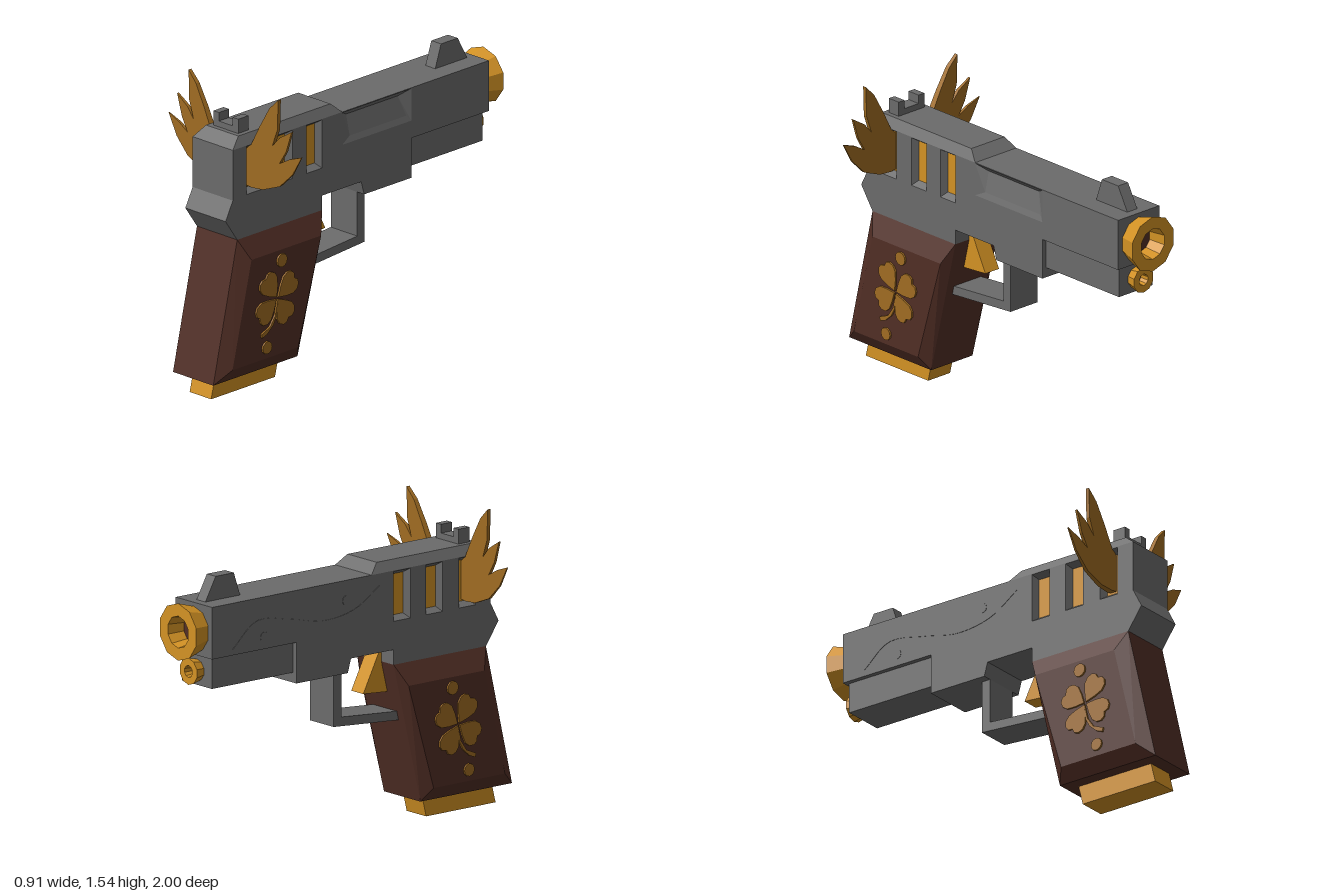
import * as THREE from 'three';

const mat = (name, color) => {
  const m = new THREE.MeshStandardMaterial({ color, side: THREE.DoubleSide });
  m.name = name;
  return m;
};

export function createModel() {
  const model = new THREE.Group();
  model.name = 'pistol';
  const grey = mat('gunmetal', 0x6b6b6b);
  const gold = mat('brightGold', 0xd39224);
  const bronze = mat('darkGold', 0xa06c22);
  const brown = mat('darkWood', 0x512e25);

  // Every part is faceted
  const add = (name, geo, material) => {
    const g = geo.index ? geo.toNonIndexed() : geo;
    g.computeVertexNormals();
    const mesh = new THREE.Mesh(g, material);
    mesh.name = name;
    model.add(mesh);
    return mesh;
  };
  // Mirror across x and restore the corner order
  const mirrored = (geo) => {
    const g = geo.index ? geo.toNonIndexed() : geo.clone();
    const p = g.attributes.position;
    for (let i = 0; i < p.count; i += 3) {
      const c = [0, 2, 1].map((k) => new THREE.Vector3().fromBufferAttribute(p, i + k));
      c.forEach((v, k) => p.setXYZ(i + k, -v.x, v.y, v.z));
    }
    return g;
  };
  const addPair = (name, geo, material) => {
    add('left' + name, geo, material);
    add('right' + name, mirrored(geo), material);
  };
  // Side outline in [z, y], extruded from x0 to x1
  const outline = (pts) => pts.map(([z, y]) => new THREE.Vector2(-z, y));
  const sideExtrude = (pts, x0, x1, holes = []) => {
    const s = new THREE.Shape(outline(pts));
    s.holes = holes.map((h) => new THREE.Path(outline(h)));
    return new THREE.ExtrudeGeometry(s, { depth: x1 - x0, bevelEnabled: false })
      .rotateY(Math.PI / 2).translate(x0, 0, 0);
  };
  // Sloped faces between two loops of four, with an optional cap on the second
  const loft = (a, b, cap = true) => {
    const g = new THREE.BufferGeometry();
    const idx = [];
    for (let i = 0; i < 4; i++) {
      const j = (i + 1) % 4;
      idx.push(i, j, 4 + j, i, 4 + j, 4 + i);
    }
    if (cap) idx.push(4, 5, 6, 4, 6, 7);
    g.setAttribute('position', new THREE.Float32BufferAttribute([...a, ...b].flat(), 3));
    g.setIndex(idx);
    return g;
  };
  const sideRect = (z0, z1, y0, y1) => [[z1, y0], [z0, y0], [z0, y1], [z1, y1]];
  const atX = (pts, x) => pts.map(([z, y]) => [x, y, z]);
  const topRect = (x, y, z0, z1) => [[-x, y, z1], [x, y, z1], [x, y, z0], [-x, y, z0]];

  // Slide and frame: a core with pierced side plates
  const W = 0.137, CORE = 0.1;
  const body = [[0.865, 1.28], [-0.9, 1.28], [-0.9, 1.02], [-0.365, 1.02], [-0.365, 0.815],
    [-0.04, 0.815], [-0.02, 0.885], [0.25, 0.885], [0.25, 0.81], [0.835, 0.81],
    [0.915, 0.925], [0.865, 1.02]];
  const windows = [0.717, 0.508, 0.303].map((z) => sideRect(z - 0.053, z + 0.053, 1.027, 1.276));
  const port = sideRect(-0.365, 0.11, 1.11, 1.277);
  add('bodyCore', sideExtrude(body, -CORE, CORE), grey);
  add('leftBodyPlate', sideExtrude(body, CORE, W, [...windows, port]), grey);
  add('rightBodyPlate', sideExtrude(body, -W, -CORE, windows), grey);
  add('slideHump', loft(topRect(W, 1.28, 0.11, 0.865), topRect(0.11, 1.33, 0.165, 0.8)), grey);

  // Bevelled windows with gold behind
  for (const z of [0.717, 0.508, 0.303]) {
    const outer = sideRect(z - 0.053, z + 0.053, 1.027, 1.276);
    const inner = sideRect(z - 0.034, z + 0.034, 1.05, 1.255);
    addPair('WindowFrame', loft(atX(outer, W), atX(inner, 0.104), false), grey);
    addPair('WindowPane', sideExtrude(inner, CORE, 0.104), gold);
  }

  // Scooped port on the left side
  add('ejectionPort', loft(atX(port, W), [
    [0.127, 1.14, 0.05], [0.127, 1.14, -0.34], [0.103, 1.245, -0.305], [0.103, 1.245, 0.05],
  ]), grey);

  // Thin ornament on the right side
  const curl = new THREE.CatmullRomCurve3([[-0.77, 1.05], [-0.62, 1.16], [-0.4, 1.13],
    [-0.2, 1.09], [0, 1.12], [0.16, 1.22]].map(([z, y]) => new THREE.Vector3(0, y, z)));
  const cp = curl.getPoints(24);
  const strip = [...cp.map((p, i) => [p.z, p.y + 0.012 * Math.sin(Math.PI * i / 24)]),
    ...cp.map((p) => [p.z, p.y - 0.001]).reverse()];
  add('scrollInlay', sideExtrude(strip, -W - 0.002, -W), grey);
  for (const [z, y] of [[-0.57, 1.08], [-0.05, 1.18]]) {
    add('pin', new THREE.CylinderGeometry(0.025, 0.025, 0.004, 12).rotateZ(Math.PI / 2)
      .translate(-W, y, z), grey);
  }

  // Rail under the barrel and trigger guard
  add('lowerRail', sideExtrude(sideRect(-0.88, -0.36, 0.865, 1.03), -0.112, 0.112), grey);
  add('triggerGuard', sideExtrude([[-0.04, 0.83], [-0.09, 0.83], [-0.09, 0.545], [0.34, 0.513],
    [0.34, 0.558], [-0.04, 0.587]], -0.09, 0.09), grey);
  add('trigger', sideExtrude([[0.25, 0.89], [0.135, 0.665], [0.3, 0.652]], -0.045, 0.045), gold);

  // Sights
  add('frontSight', sideExtrude([[-0.635, 1.28], [-0.855, 1.28], [-0.79, 1.398],
    [-0.675, 1.398]], -0.033, 0.033), grey);
  add('rearSightBase', sideExtrude(sideRect(0.705, 0.775, 1.32, 1.36), -0.085, 0.085), grey);
  addPair('RearSightPost', sideExtrude(sideRect(0.705, 0.775, 1.35, 1.404), 0.047, 0.085), grey);

  // Flared ten-sided muzzles, with a bore
  const muzzle = (name, y, zBack, zFront, rBack, rFront, rBore) => {
    const len = zBack - zFront;
    const profile = [[rBack, 0], [rFront, len], [rBore, len], [rBore * 0.85, 0.008]]
      .map(([r, h]) => new THREE.Vector2(r, h));
    add(name, new THREE.LatheGeometry(profile, 10).rotateX(-Math.PI / 2)
      .translate(0, y, zBack), gold);
    add(name + 'Bore', new THREE.CircleGeometry(rBore, 10).rotateY(Math.PI)
      .translate(0, y, zBack - 0.009), brown);
  };
  muzzle('muzzle', 1.147, -0.9, -1, 0.113, 0.143, 0.08);
  muzzle('lowerMuzzle', 0.94, -0.88, -0.935, 0.054, 0.067, 0.03);

  // Grip with raised side panels, and magazine
  const grip = [[1, 0.1], [0.42, 0.1], [0.25, 0.81], [0.835, 0.81]];
  const panel = [[0.915, 0.17], [0.46, 0.17], [0.305, 0.705], [0.785, 0.705]];
  panel[1][0] = 0.463;
  add('grip', sideExtrude(grip, -W, W), brown);
  addPair('GripPanel', loft(atX(grip, W), atX(panel, 0.185)), brown);
  add('magazine', sideExtrude([[0.95, 0], [0.51, 0], [0.48, 0.12], [0.92, 0.12]],
    -0.073, 0.073), gold);

  // Four-leaf clover, stem and dots on both panels
  const plate = (name, pts) => addPair(name, sideExtrude(pts, 0.185, 0.1945), bronze);
  const half = [[0.008, 0], [0.05, 0.035], [0.09, 0.06], [0.122, 0.061], [0.145, 0.045],
    [0.152, 0.022], [0.14, 0]];
  const leaf = [...half, ...half.slice(1, -1).reverse().map(([u, v]) => [u, -v])];
  const cz = 0.615, cy = 0.465;
  for (let k = 0; k < 4; k++) {
    const a = 0.58 + k * Math.PI / 2, c = Math.cos(a), s = Math.sin(a);
    plate('CloverLeaf', leaf.map(([u, v]) => [cz - (u * c - v * s), cy + u * s + v * c]));
  }
  plate('CloverStem', [[0.612, 0.46], [0.63, 0.38], [0.665, 0.33], [0.725, 0.305],
    [0.72, 0.285], [0.685, 0.298], [0.642, 0.335], [0.618, 0.38]]);
  for (const [z, y, r] of [[0.58, 0.652, 0.034], [0.683, 0.227, 0.032]]) {
    plate('GripDot', Array.from({ length: 12 }, (_, i) => [
      z - r * Math.cos(i * Math.PI / 6), y + r * Math.sin(i * Math.PI / 6)]));
  }

  // Wings: three feathers, thinning and sweeping forward to the tips
  const wing = new THREE.Shape([[0.105, 1.25], [0.137, 1.28], [0.19, 1.385], [0.25, 1.49],
    [0.305, 1.545], [0.3, 1.39], [0.268, 1.3], [0.313, 1.352], [0.39, 1.4], [0.355, 1.29],
    [0.313, 1.22], [0.375, 1.255], [0.453, 1.283], [0.395, 1.18], [0.313, 1.1], [0.21, 1.06],
    [0.137, 1.055], [0.105, 1.06]].map(([x, y]) => new THREE.Vector2(x, y)));
  const wg = new THREE.ExtrudeGeometry(wing, { depth: 1, bevelEnabled: false });
  const wp = wg.attributes.position;
  for (let i = 0; i < wp.count; i++) {
    const t = (wp.getX(i) - 0.105) / 0.35;
    wp.setZ(i, 0.722 - 0.015 * t + (wp.getZ(i) - 0.5) * (0.036 - 0.03 * t));
  }
  addPair('Wing', wg, bronze);

  return model;
}
